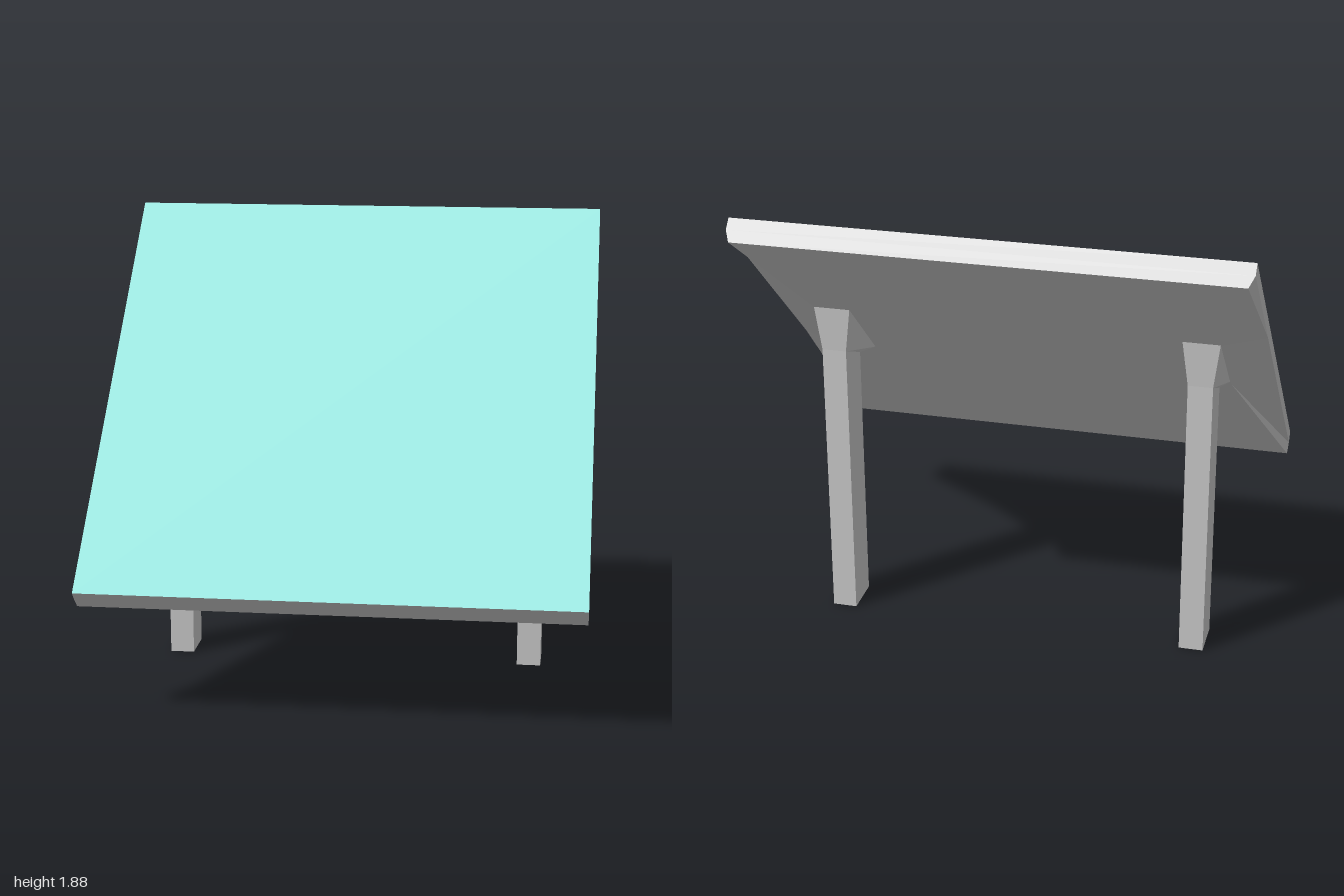
import * as THREE from 'three';

// Skins a series of rings, each wound anticlockwise about the sweep direction.
function loft(rings, capStart, capEnd) {
  const pos = [];
  const tri = (...pts) => pts.forEach((p) => pos.push(...p));
  const n = rings[0].length;
  for (let r = 0; r < rings.length - 1; r++) {
    for (let i = 0; i < n; i++) {
      const j = (i + 1) % n;
      const [a, b, c, d] = [rings[r][i], rings[r][j], rings[r + 1][j], rings[r + 1][i]];
      tri(a, b, c);
      tri(a, c, d);
    }
  }
  const cap = (ring, flip) => {
    const mid = [0, 1, 2].map((k) => ring.reduce((s, p) => s + p[k], 0) / n);
    ring.forEach((p, i) => {
      const q = ring[(i + 1) % n];
      if (flip) tri(mid, q, p);
      else tri(mid, p, q);
    });
  };
  if (capStart) cap(rings[0], true);
  if (capEnd) cap(rings[rings.length - 1], false);
  const geometry = new THREE.BufferGeometry();
  geometry.setAttribute('position', new THREE.Float32BufferAttribute(pos, 3));
  geometry.computeVertexNormals();
  return geometry;
}

export function createModel() {
  const model = new THREE.Group();
  model.name = 'tiltedPanelOnPosts';
  const grey = new THREE.MeshStandardMaterial({ color: 0xcccccc, flatShading: true });
  const teal = new THREE.MeshStandardMaterial({ color: 0x90e5de });
  const add = (parent, name, geometry, material) => {
    const mesh = new THREE.Mesh(geometry, material);
    mesh.name = name;
    parent.add(mesh);
    return mesh;
  };

  // Tilted panel: local y runs up the slope, local z is the front normal
  const panel = new THREE.Group();
  panel.name = 'panel';
  panel.position.set(0, 1.205, 0.035);
  panel.rotation.x = -0.827;
  model.add(panel);

  const half = 0.998;
  const levels = [half, 0.36, -0.09, -half];
  // Outline at one depth, with a half width for each level from top to bottom
  const outline = (widths, z) => [
    ...levels.map((y, i) => [widths[i], y, z]),
    ...levels.map((y, i) => [-widths[i], y, z]).reverse(),
  ];
  const full = [1, 1, 1, 1];
  // The back is drawn in at the sides where the posts meet it
  const backing = loft([
    outline(full, 0),
    outline(full, -0.05),
    outline([0.98, 0.825, 0.825, 0.998], -0.1),
  ], false, true);
  add(panel, 'panelBacking', backing, grey);
  add(panel, 'panelFace', new THREE.PlaneGeometry(2, half * 2), teal);

  // Posts: square shafts flaring into a bracket under the panel
  const ring = (w, zFront, yFront, zBack, yBack) => [
    [w, yFront, zFront], [w, yBack, zBack], [-w, yBack, zBack], [-w, yFront, zFront],
  ];
  const post = loft([
    ring(0.05, -0.115, 0, -0.29, 0),
    ring(0.05, -0.115, 1.115, -0.29, 1.19),
    ring(0.075, 0.035, 1.08, -0.3, 1.38),
  ], true, false);
  for (const [name, x] of [['leftPost', 0.75], ['rightPost', -0.75]]) {
    add(model, name, post, grey).position.x = x;
  }
  return model;
}
